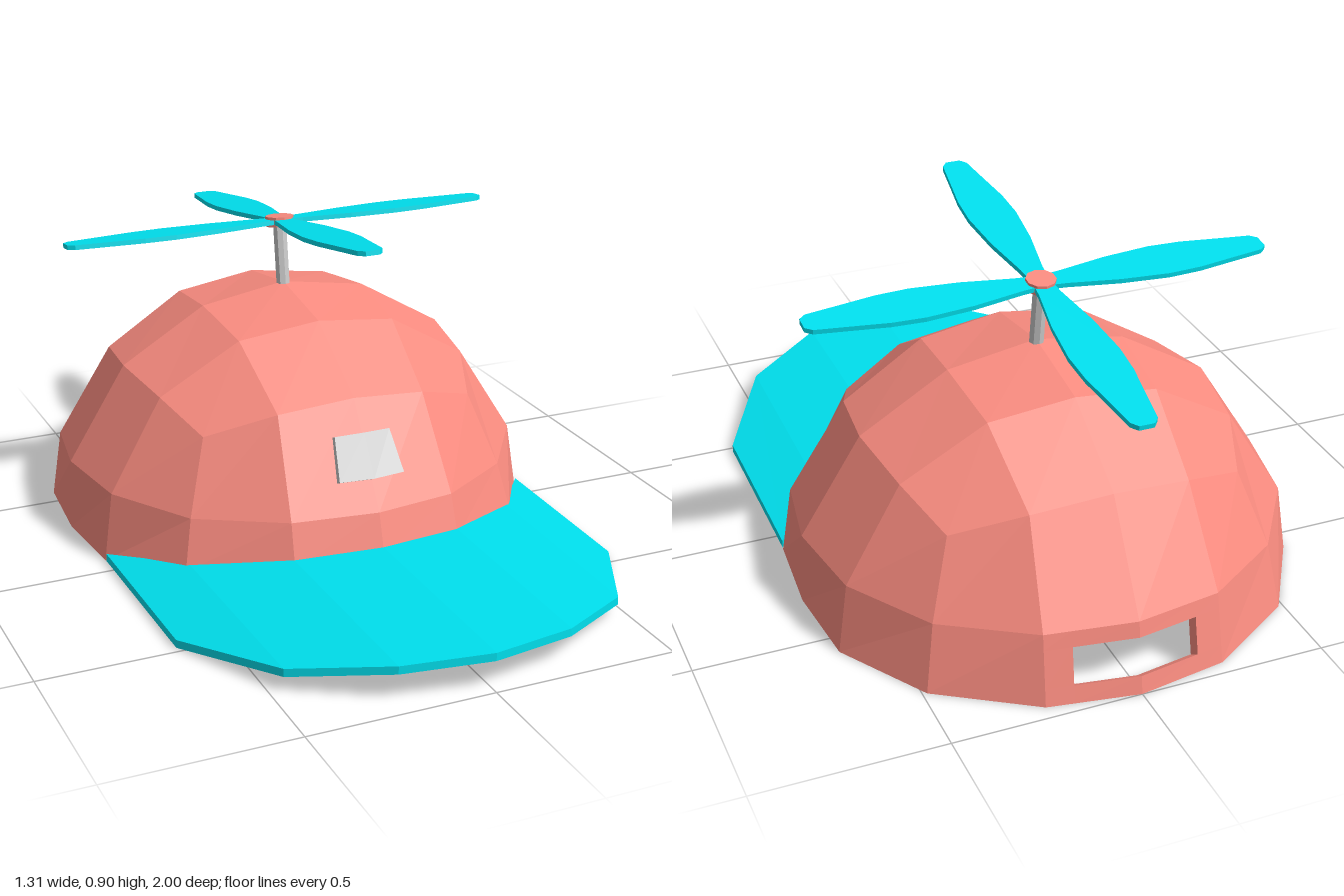
import * as THREE from 'three';

const CENTRE_Z = -0.315;
const material = (color) => new THREE.MeshStandardMaterial({ color, flatShading: true });

// Collects quads (corners counter-clockwise from outside) into one faceted geometry
class QuadMesh {
  constructor() { this.pos = []; }
  quad(a, b, c, d) {
    for (const p of [a, b, c, a, c, d]) this.pos.push(p.x, p.y, p.z);
  }
  build(mat, name) {
    const g = new THREE.BufferGeometry();
    g.setAttribute('position', new THREE.Float32BufferAttribute(this.pos, 3));
    g.computeVertexNormals();
    return named(new THREE.Mesh(g, mat), name);
  }
}

function named(object, name) {
  object.name = name;
  return object;
}

// One quarter of the crown's grid, mirrored to the rest: WALL[row] runs from
// the centre of the front round to the side, TOP[i][j] is the inner top patch
const WALL = [
  [[0, 0, 0.685], [0.24, 0, 0.645], [0.488, 0, 0.487], [0.636, 0, 0.248], [0.657, 0, 0]],
  [[0, 0.195, 0.652], [0.235, 0.19, 0.61], [0.46, 0.18, 0.456], [0.609, 0.19, 0.24], [0.65, 0.2, 0]],
  [[0, 0.462, 0.487], [0.213, 0.44, 0.468], [0.395, 0.377, 0.388], [0.456, 0.44, 0.222], [0.485, 0.462, 0]],
];
const TOP = [
  [[0, 0.645, 0], [0, 0.605, 0.25]],
  [[0.245, 0.605, 0], [0.23, 0.575, 0.238]],
];

// Crown vertex: i and j run -2..2, h runs 0 (rim) to 2 (top patch)
function crownPoint(i, h, j, inner) {
  const [ai, aj] = [Math.abs(i), Math.abs(j)];
  const onWall = ai === 2 || aj === 2;
  const [x, y, z] = onWall ? WALL[h][aj === 2 ? ai : 4 - aj] : TOP[ai][aj];
  const p = new THREE.Vector3(x * Math.sign(i), y, z * Math.sign(j));
  if (inner) p.multiplyScalar(0.96);
  // The front of the rim arches up over the brim
  if (h === 0 && j === 2) p.y = [0.085, 0.075, 0.045][ai];
  p.z += CENTRE_Z;
  return p;
}

function makeCrown(mat) {
  const m = new QuadMesh();
  const ring = [];
  for (let n = -2; n < 2; n++) ring.push([n, 2]);
  for (let n = 2; n > -2; n--) ring.push([2, n]);
  for (let n = 2; n > -2; n--) ring.push([n, -2]);
  for (let n = -2; n < 2; n++) ring.push([-2, n]);

  // Bilinear patch of one wall panel
  const patch = (c, u, v) => c[0].clone().lerp(c[1], u).lerp(c[3].clone().lerp(c[2], u), v);

  // Panel with a rectangular opening that reaches the back centre line
  function openPanel(out, inn, u0, u1) {
    const us = [0, u0, u1, 1], outV = [0, 0.25, 0.78, 1], innV = [0, 0.18, 0.78, 1];
    for (let a = 0; a < 3; a++) for (let b = 0; b < 3; b++) {
      if (us[a] === us[a + 1] || (a === 1 && b === 1)) continue;
      const cell = [[a, b], [a + 1, b], [a + 1, b + 1], [a, b + 1]];
      m.quad(...cell.map(([u, v]) => patch(out, us[u], outV[v])));
      m.quad(...cell.map(([u, v]) => patch(inn, us[u], innV[v])).reverse());
    }
    const hole = [[u0, 1], [u1, 1], [u1, 2], [u0, 2]];
    hole.forEach(([u, v], n) => {
      const [u2, v2] = hole[(n + 1) % 4];
      if (u === u2 && (u === 0 || u === 1)) return;
      m.quad(patch(out, u, outV[v]), patch(out, u2, outV[v2]),
        patch(inn, u2, innV[v2]), patch(inn, u, innV[v]));
    });
  }

  // Walls, inside and out, and the rim
  ring.forEach(([i, j], k) => {
    const [i2, j2] = ring[(k + 1) % 16];
    for (let h = 0; h < 2; h++) {
      const [out, inn] = [false, true].map((s) => [
        crownPoint(i, h, j, s), crownPoint(i2, h, j2, s),
        crownPoint(i2, h + 1, j2, s), crownPoint(i, h + 1, j, s)]);
      if (h === 0) m.quad(inn[0], inn[1], out[1], out[0]);
      const back = j === -2 && j2 === -2;
      if (h === 0 && back && i === 1) openPanel(out, inn, 0.3, 1);
      else if (h === 0 && back && i === 0) openPanel(out, inn, 0, 0.7);
      else {
        m.quad(...out);
        m.quad(...inn.reverse());
      }
    }
  });

  // Top patch
  for (let i = -2; i < 2; i++) for (let j = -2; j < 2; j++) {
    for (const s of [false, true]) {
      const q = [[i, j + 1], [i + 1, j + 1], [i + 1, j], [i, j]].map(([a, b]) => crownPoint(a, 2, b, s));
      m.quad(...(s ? q.reverse() : q));
    }
  }
  return m.build(mat, 'crown');
}

// Arched brim: each station joins a point on the crown to a point on the outer edge
function makeBrim(mat) {
  const half = [ // inner x, inner z, outer x, outer z, top y
    [0, 0.355, 0, 0.995, 0.105], [0.24, 0.315, 0.235, 0.945, 0.096],
    [0.477, 0.16, 0.465, 0.79, 0.062], [0.635, -0.06, 0.627, 0.48, 0.022]];
  const flip = ([a, b, c, d, e]) => [-a, b, -c, d, e];
  const stations = [...half.slice(1).reverse().map(flip), ...half].map(([ix, iz, ox, oz, y]) => {
    const V = (x, yy, z) => new THREE.Vector3(x, yy, z);
    return { it: V(ix, y, iz), ot: V(ox, y, oz), ib: V(ix, y - 0.022, iz), ob: V(ox, y - 0.022, oz) };
  });
  const m = new QuadMesh();
  for (let n = 0; n < 6; n++) {
    const a = stations[n], b = stations[n + 1];
    m.quad(a.ot, b.ot, b.it, a.it);
    m.quad(a.ib, b.ib, b.ob, a.ob);
    m.quad(a.ob, b.ob, b.ot, a.ot);
    m.quad(a.it, b.it, b.ib, a.ib);
  }
  const l = stations[0], r = stations[6];
  m.quad(l.ib, l.ob, l.ot, l.it);
  m.quad(r.ob, r.ib, r.it, r.ot);
  return m.build(mat, 'brim');
}

// Tapered plate folded along the centre line to follow the crown
function makeBadge(mat) {
  const g = new THREE.BoxGeometry(2, 1, 1, 2, 1, 1);
  const p = g.attributes.position;
  for (let n = 0; n < p.count; n++) {
    const side = p.getX(n), top = p.getY(n) > 0, front = p.getZ(n) > 0;
    const fold = Math.abs(side);
    const y = (top ? 0.388 : 0.28) - (top ? 0.006 : 0.002) * fold + (front ? 0 : -0.012);
    const z = (top ? 0.24 : 0.305) - 0.015 * fold - (front ? 0 : 0.025);
    p.setXYZ(n, side * (top ? 0.08 : 0.094), y, z);
  }
  return named(new THREE.Mesh(g, mat), 'frontBadge');
}

function makePropeller(bladeMat, hubMat, rodMat) {
  const prop = named(new THREE.Group(), 'propeller');
  const rod = new THREE.Mesh(new THREE.CylinderGeometry(0.02, 0.02, 0.22, 8), rodMat);
  rod.position.y = -0.11;
  const hub = new THREE.Mesh(new THREE.CylinderGeometry(0.04, 0.04, 0.028, 10), hubMat);
  prop.add(named(rod, 'rod'), named(hub, 'hub'));

  // Leaf-shaped blade
  const edge = [[0.02, 0.026], [0.06, 0.03], [0.2, 0.055], [0.33, 0.067], [0.42, 0.063],
    [0.52, 0.048], [0.61, 0.035], [0.628, 0.02]];
  const outline = [...edge, ...edge.map(([x, y]) => [x, -y]).reverse()];
  const shape = new THREE.Shape(outline.map(([x, y]) => new THREE.Vector2(x, y)));
  const blade = new THREE.ExtrudeGeometry(shape, { depth: 0.013, bevelEnabled: false });
  blade.translate(0, 0, -0.0065).rotateX(-Math.PI / 2);
  for (let n = 0; n < 4; n++) {
    const mesh = named(new THREE.Mesh(blade, bladeMat), 'blade');
    mesh.rotation.y = (n * Math.PI) / 2;
    prop.add(mesh);
  }
  prop.position.set(0, 0.818, -0.34);
  prop.rotation.x = -0.128;
  return prop;
}

export function createModel() {
  const red = material(0xfa8c80), cyan = material(0x00e0ee), grey = material(0xcccccc);
  const cap = named(new THREE.Group(), 'propellerCap');
  cap.add(makeCrown(red), makeBrim(cyan), makeBadge(grey), makePropeller(cyan, red, grey));
  return cap;
}
